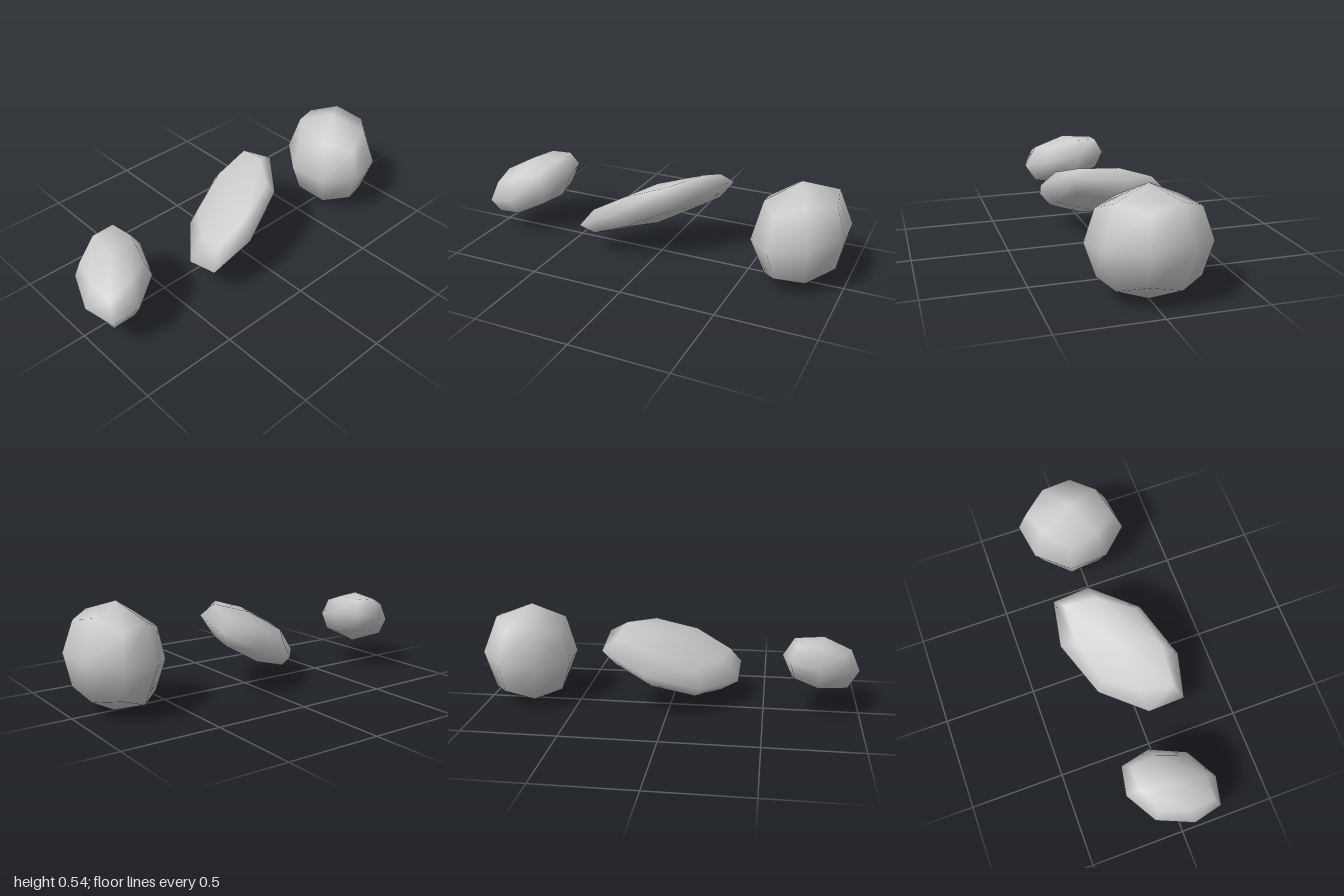
import * as THREE from 'three';
import { mergeVertices } from 'three/addons/utils/BufferGeometryUtils.js';

// Rounded low-poly boulder: a subdivided cube pushed out to a unit sphere,
// with its edges and corners left slightly fuller
function pebble() {
  const box = new THREE.BoxGeometry(2, 2, 2, 2, 2, 2);
  box.deleteAttribute('uv');
  box.deleteAttribute('normal');
  const geo = mergeVertices(box);
  const pos = geo.attributes.position;
  const v = new THREE.Vector3();
  for (let i = 0; i < pos.count; i++) {
    v.fromBufferAttribute(pos, i);
    v.setLength(v.length() > 1.1 ? 1.035 : 1);
    pos.setXYZ(i, v.x, v.y, v.z);
  }
  return geo;
}

// Each rock: centre and its three half-axes
const rocks = [
  { name: 'smallRock', centre: [-0.795, 0.27, 0],
    axes: [[0.205, 0.052, -0.05], [-0.005, 0.145, 0], [-0.025, -0.037, 0.235]] },
  { name: 'flatRock', centre: [-0.025, 0.275, 0],
    axes: [[0.337, 0.147, -0.05], [0, 0.115, 0], [-0.133, 0.02, 0.285]] },
  { name: 'roundRock', centre: [0.765, 0.27, 0],
    axes: [[0.222, 0.029, -0.135], [-0.015, 0.27, 0], [0.095, 0.017, 0.245]] },
];

export function createModel() {
  const group = new THREE.Group();
  group.name = 'rocks';
  const material = new THREE.MeshStandardMaterial({ color: 0xcccccc });
  for (const { name, centre, axes } of rocks) {
    const [a, b, c] = axes.map((p) => new THREE.Vector3(...p));
    const geo = pebble().applyMatrix4(new THREE.Matrix4().makeBasis(a, b, c));
    geo.computeVertexNormals();
    const rock = new THREE.Mesh(geo, material);
    rock.name = name;
    rock.position.set(...centre);
    group.add(rock);
  }
  return group;
}
